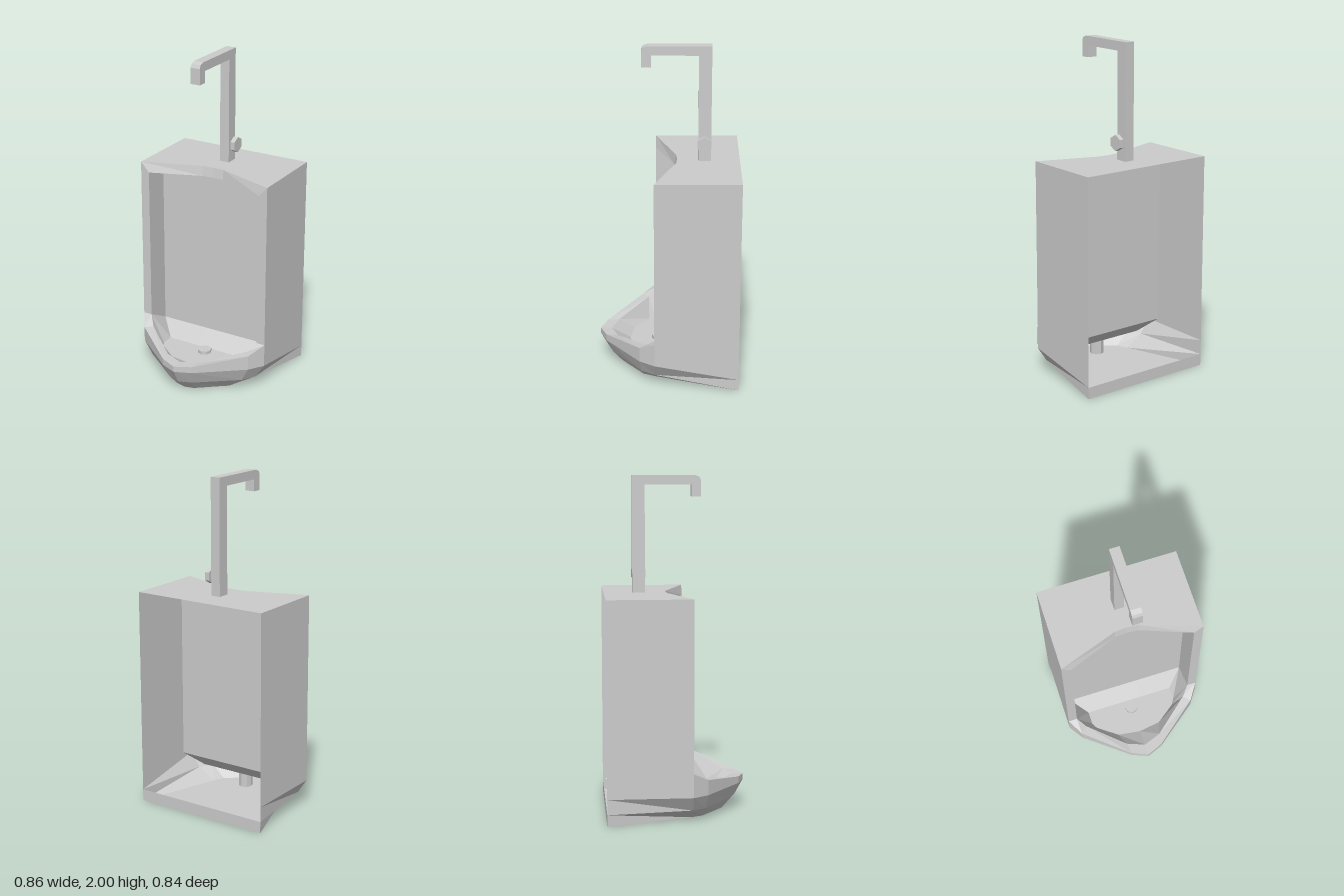
import * as THREE from 'three';

const material = new THREE.MeshStandardMaterial({
  color: 0xcccccc, flatShading: true, side: THREE.DoubleSide,
});

function addMesh(parent, name, geometry) {
  const mesh = new THREE.Mesh(geometry, material);
  mesh.name = name;
  parent.add(mesh);
  return mesh;
}

// Half a cross-section, from the +x side to the middle, completed by its mirror image.
// A last point on x = 0 is shared.
function mirrored(half) {
  const other = half.filter((p) => p[0] > 0).reverse();
  return [...half, ...other.map(([x, y, z]) => [-x, y, z])];
}

// Skin between successive cross-sections with equal point counts.
function loft(rows) {
  const positions = [];
  for (let i = 0; i < rows.length - 1; i++) {
    for (let j = 0; j < rows[i].length - 1; j++) {
      const a = rows[i][j], b = rows[i][j + 1];
      const c = rows[i + 1][j + 1], d = rows[i + 1][j];
      positions.push(...a, ...d, ...c, ...a, ...c, ...b);
    }
  }
  const geometry = new THREE.BufferGeometry();
  geometry.setAttribute('position', new THREE.Float32BufferAttribute(positions, 3));
  geometry.computeVertexNormals();
  return geometry;
}

const atY = (y, points) => points.map(([x, z]) => [x, y, z]);

export function createModel() {
  const model = new THREE.Group();
  model.name = 'urinal';

  // Outer bowl: low back strip, underside, then up the curved front to the rim
  const foot = [[0.43, -0.42], [0.26, 0.08], [0.23, 0.15], [0.06, 0.285], [0, 0.3]];
  const back = foot.map(([x]) => [x, -0.42]);
  const belly = [[0.43, -0.42], [0.37, 0.08], [0.32, 0.16], [0.08, 0.34], [0, 0.37]];
  const widest = [[0.43, -0.42], [0.43, 0.08], [0.37, 0.17], [0.1, 0.38], [0, 0.42]];
  const outerRim = [[0.43, 0.3, 0.08], [0.37, 0.25, 0.17], [0.1, 0.2, 0.38], [0, 0.195, 0.42]];
  const innerRim = [[0.375, 0.3, 0.08], [0.33, 0.25, 0.13], [0.11, 0.2, 0.31], [0, 0.195, 0.35]];
  addMesh(model, 'bowlShell', loft([
    atY(0.07, back), atY(0, back), atY(0, foot), atY(0.07, belly), atY(0.16, widest),
    [[0.43, 0.3, -0.42], ...outerRim],
  ].map(mirrored)));
  addMesh(model, 'bowlRim', loft([outerRim, innerRim].map(mirrored)));

  // Inside of the bowl and its flat floor
  const floor = [[0.28, 0.01], [0.28, 0.09], [0.26, 0.125], [0.14, 0.215], [0, 0.235]];
  addMesh(model, 'basin', loft([
    [[0.375, 0.215, -0.08], ...innerRim],
    atY(0.13, floor),
    atY(0.13, floor.map(([x]) => [x, 0.01])),
  ].map(mirrored)));

  // Slope behind the basin, recessed panel, recess ceiling, curved top lip and top
  addMesh(model, 'backPanelAndTop', loft([
    atY(0.13, [[0.28, 0.01], [0.07, 0.01], [0, 0.01]]),
    atY(0.215, [[0.375, -0.08], [0.07, -0.08], [0, -0.08]]),
    atY(1.25, [[0.375, -0.08], [0.07, -0.08], [0, -0.08]]),
    atY(1.25, [[0.375, 0.08], [0.07, -0.035], [0, -0.04]]),
    atY(1.31, [[0.43, 0.08], [0.07, -0.045], [0, -0.05]]),
    atY(1.31, [[0.43, -0.42], [0.07, -0.42], [0, -0.42]]),
  ].map(mirrored)));

  // Side walls with the front frame edge and the side of the recess
  const sideRows = [
    [[0.43, 0.3, -0.42], [0.43, 0.3, 0.08], [0.375, 0.3, 0.08], [0.375, 0.215, -0.08]],
    [[0.43, 1.31, -0.42], [0.43, 1.31, 0.08], [0.375, 1.25, 0.08], [0.375, 1.25, -0.08]],
  ];
  addMesh(model, 'leftSide', loft(sideRows));
  addMesh(model, 'rightSide', loft(sideRows.map(
    (row) => row.map(([x, y, z]) => [-x, y, z]).reverse())));

  // Drain through the basin floor
  addMesh(model, 'drain', new THREE.CylinderGeometry(0.043, 0.043, 0.11, 8))
    .position.set(0, 0.095, 0.06);

  // Square water pipe: side profile drawn as (z, y), extruded across x
  const profile = new THREE.Shape([
    [-0.25, 1.31], [-0.175, 1.31], [-0.175, 1.945], [0.1, 1.945], [0.1, 1.875],
    [0.157, 1.875], [0.157, 1.97], [0.147, 1.99], [0.12, 2], [-0.25, 2],
  ].map(([z, y]) => new THREE.Vector2(-z, y)));
  const pipe = new THREE.ExtrudeGeometry(profile, { depth: 0.06, bevelEnabled: false });
  pipe.translate(0, 0, -0.03).rotateY(Math.PI / 2);
  addMesh(model, 'waterPipe', pipe);

  // Valve stem and hexagonal knob on the side of the pipe
  const valve = new THREE.Group();
  valve.name = 'valve';
  valve.position.set(0, 1.42, -0.21);
  model.add(valve);
  for (const [name, radius, length, x] of [
    ['valveStem', 0.018, 0.02, 0.037], ['valveKnob', 0.048, 0.028, 0.059],
  ]) {
    const geometry = new THREE.CylinderGeometry(radius, radius, length, 6);
    geometry.rotateY(Math.PI / 2).rotateZ(Math.PI / 2);
    addMesh(valve, name, geometry).position.x = x;
  }

  return model;
}
